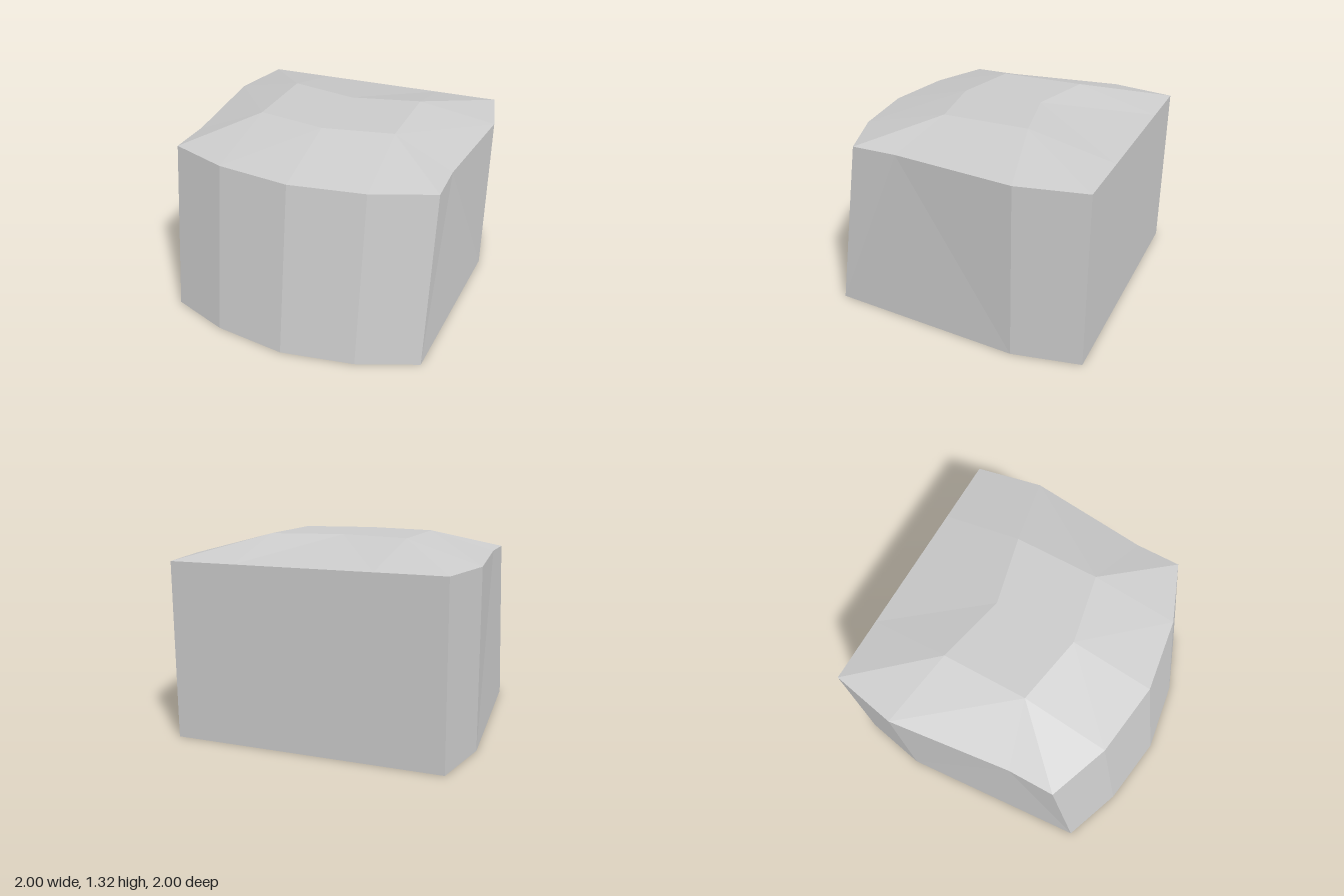
import * as THREE from 'three';

const RIM = 1.18, CROWN = 1.32;

// Roof rows on the +x half, back to front; each runs from the centre line to the side: [x, y, z]
const ROOF = [
  [[0, RIM, -1], [0.46, RIM, -1], [0.91, RIM, -1]],
  [[0, CROWN, -0.32], [0.48, CROWN, -0.43], [1, RIM, -0.55]],
  [[0, CROWN, 0.25], [0.48, CROWN, 0.16], [0.905, RIM, 0.28]],
  [[0, RIM, 0.815], [0.5, RIM, 0.745], [0.905, RIM, 0.59]],
];

// Wall stations on the +x half, front centre round to back centre: rim point and foot point as [x, z]
const WALL = [
  [[0, 0.815], [0, 1]],
  [[0.5, 0.745], [0.5, 0.925]],
  [[0.905, 0.59], [0.905, 0.77]],
  [[0.905, 0.28], [0.905, 0.77]],
  [[1, -0.55], [1, -0.55]],
  [[0.91, -1], [0.91, -1]],
  [[0.46, -1], [0.46, -1]],
  [[0, -1], [0, -1]],
];

// Turns half-model triangles into a mirrored, faceted mesh
function mirroredMesh(name, triangles) {
  const positions = [];
  for (const [a, b, c] of triangles) {
    positions.push(...a, ...b, ...c);
    for (const p of [a, c, b]) positions.push(-p[0], p[1], p[2]);
  }
  const geometry = new THREE.BufferGeometry();
  geometry.setAttribute('position', new THREE.Float32BufferAttribute(positions, 3));
  geometry.computeVertexNormals();
  const mesh = new THREE.Mesh(geometry, new THREE.MeshStandardMaterial({ color: 0xcccccc, flatShading: true }));
  mesh.name = name;
  return mesh;
}

const quad = (a, b, c, d) => [[a, b, c], [a, c, d]];

export function createModel() {
  const group = new THREE.Group();
  group.name = 'domedBlock';

  // Shallow faceted roof, corners split along their ridges
  const roof = [];
  for (let j = 0; j < 3; j++) {
    for (let i = 0; i < 2; i++) {
      const fl = ROOF[j + 1][i], fr = ROOF[j + 1][i + 1];
      const bl = ROOF[j][i], br = ROOF[j][i + 1];
      roof.push(...(j === 2 ? quad(fr, br, bl, fl) : quad(fl, fr, br, bl)));
    }
  }
  group.add(mirroredMesh('roof', roof));

  // Walls, with the bowed front leaning back, and the flat underside
  const walls = [], base = [];
  const top = ([p]) => [p[0], RIM, p[1]];
  const foot = ([, p]) => [p[0], 0, p[1]];
  for (let i = 0; i < WALL.length - 1; i++) {
    const a = WALL[i], b = WALL[i + 1];
    if (i === 2) walls.push([foot(a), top(b), top(a)]); // both rim points share one foot
    else walls.push(...quad(foot(b), top(b), top(a), foot(a)));
    if (i !== 2) base.push([[0, 0, 0], foot(b), foot(a)]);
  }
  group.add(mirroredMesh('walls', walls), mirroredMesh('base', base));
  return group;
}
